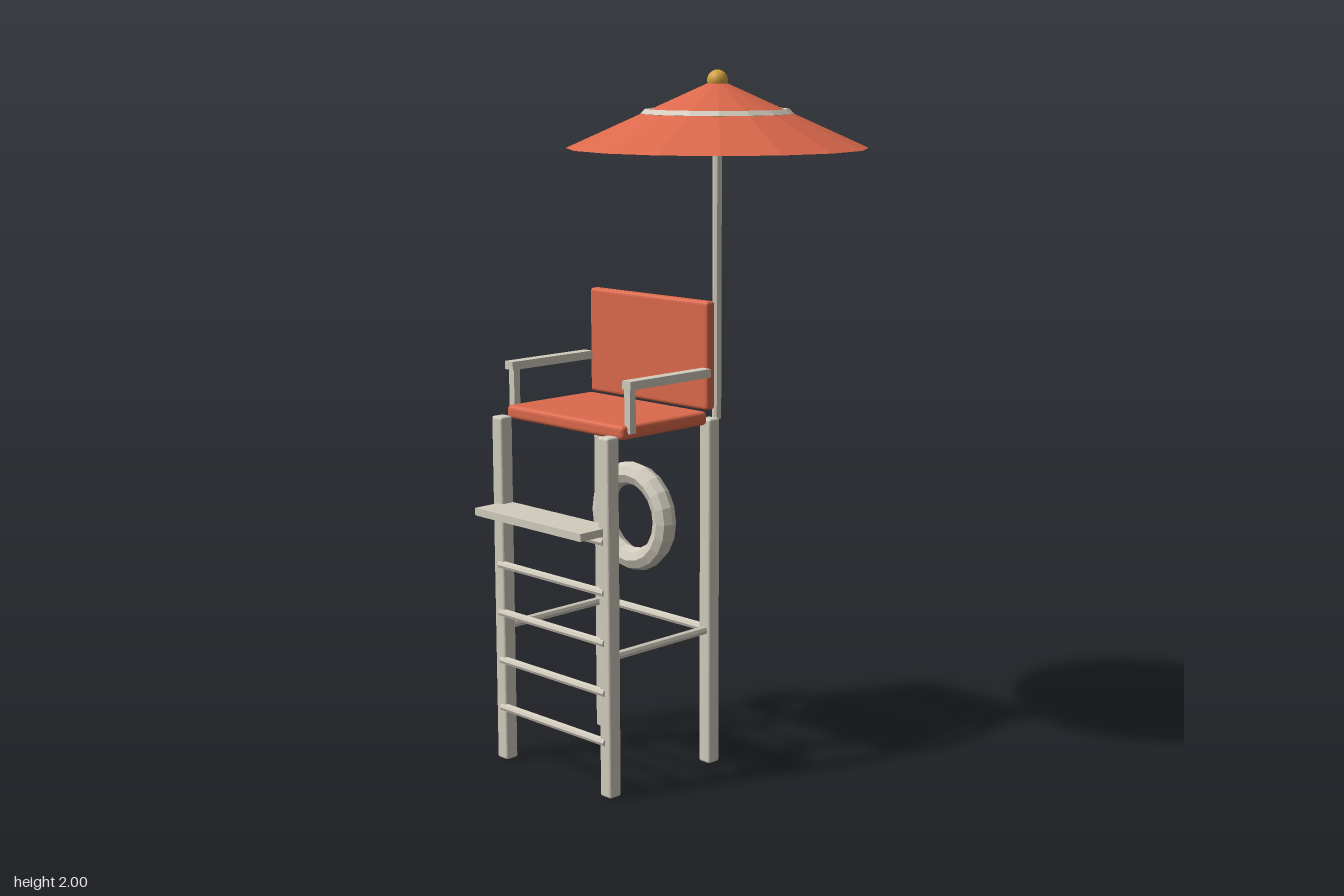
import * as THREE from 'three';
import { RoundedBoxGeometry } from 'three/addons/geometries/RoundedBoxGeometry.js';

export function createModel() {
  const group = new THREE.Group();
  group.name = 'lifeguardChair';

  const makeMaterial = (name, color) => {
    const m = new THREE.MeshStandardMaterial({ color, flatShading: true });
    m.name = name;
    return m;
  };
  const paint = makeMaterial('offWhitePaint', 0xd2ccbe);
  const red = makeMaterial('coralRed', 0xdc694c);
  const gold = makeMaterial('gold', 0xd4a23c);

  const add = (name, geometry, material, x, y, z) => {
    const mesh = new THREE.Mesh(geometry, material);
    mesh.name = name;
    mesh.position.set(x, y, z);
    group.add(mesh);
    return mesh;
  };
  const box = (w, h, d) => new THREE.BoxGeometry(w, h, d);
  const bevelBox = (w, h, d, r) => new RoundedBoxGeometry(w, h, d, 2, r);
  const rod = (r, length) => new THREE.CylinderGeometry(r, r, length, 8);

  // Frame layout
  const left = 0.05, right = -0.395, midX = (left + right) / 2;
  const front = 0.37, back = -0.024, midZ = (front + back) / 2;
  const span = left - right;

  // Legs, side braces and armrests, mirrored about the chair's middle
  for (const side of [-1, 1]) {
    const x = midX + side * span / 2;
    for (const z of [front, back]) {
      add('leg', bevelBox(0.043, 1.025, 0.043, 0.007), paint, x, 0.5125, z);
    }
    add('sideBrace', rod(0.013, front - back), paint, x, 0.403, midZ).rotation.x = Math.PI / 2;

    const armX = midX + side * 0.245;
    add('armrest', box(0.034, 0.024, 0.31), paint, armX, 1.162, 0.167);
    add('armrestPost', box(0.022, 0.125, 0.022), paint, armX + side * -0.004, 1.09, 0.305);
  }
  add('backBrace', rod(0.013, span), paint, midX, 0.403, back).rotation.z = Math.PI / 2;

  // Ladder rungs and footrest
  for (let i = 0; i < 5; i++) {
    add('ladderRung', rod(0.012, span), paint, midX, 0.16 + i * 0.1435, 0.386).rotation.z = Math.PI / 2;
  }
  add('footrest', box(span, 0.022, 0.124), paint, midX, 0.761, 0.413);

  // Seat and backrest
  add('seat', bevelBox(0.486, 0.04, 0.332, 0.012), red, midX, 1.03, 0.17);
  add('backrest', bevelBox(0.486, 0.31, 0.034, 0.01), red, midX, 1.206, -0.009);

  // Life ring hung on the rear leg
  add('lifeRing', new THREE.TorusGeometry(0.132, 0.035, 8, 20), paint, -0.308, 0.672, -0.065);

  // Parasol: pole, canopy, trim ring and finial
  const px = 0.05, pz = -0.053;
  add('parasolPole', rod(0.013, 0.81), paint, px, 1.425, pz);
  add('parasolCanopy', new THREE.ConeGeometry(0.422, 0.19, 16), red, px, 1.88, pz);
  add('canopyTrim', new THREE.TorusGeometry(0.2, 0.013, 4, 16), paint, px, 1.88, pz).rotation.x = Math.PI / 2;

  const ball = gold.clone();
  ball.flatShading = false;
  add('finial', new THREE.SphereGeometry(0.029, 16, 12), ball, px, 1.971, pz);

  return group;
}
